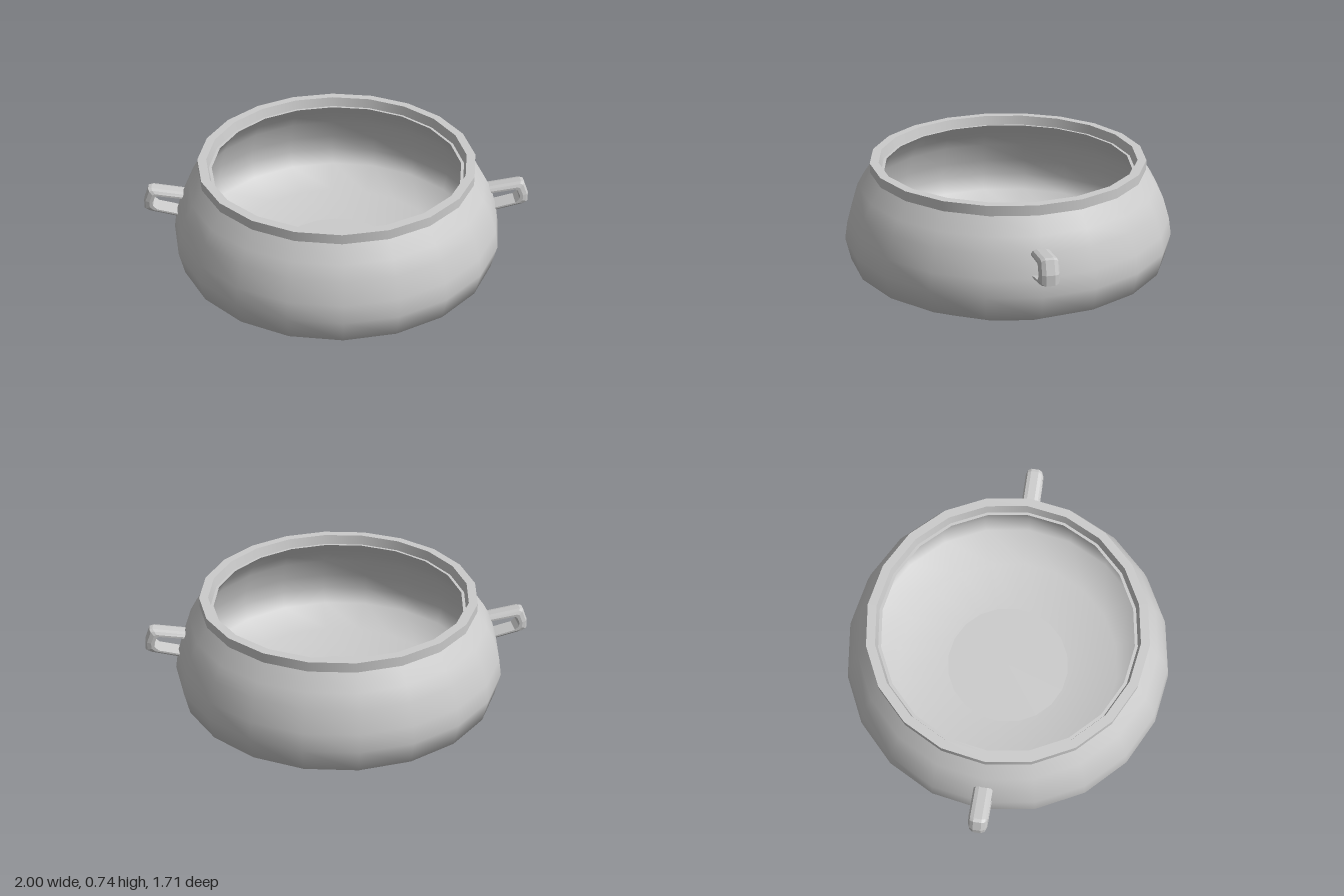
import * as THREE from 'three';

const SIDES = 20;
const material = new THREE.MeshStandardMaterial({ color: 0xcccccc });

function addMesh(parent, name, geometry) {
  const mesh = new THREE.Mesh(geometry, material);
  mesh.name = name;
  parent.add(mesh);
  return mesh;
}

// Revolved surface; separate pieces keep the edges between them sharp
function lathe(points) {
  return new THREE.LatheGeometry(points.map(([r, y]) => new THREE.Vector2(r, y)), SIDES);
}

// Bent strap: pairs of inner and outer edge points, rounded on the outside
function handleGeometry() {
  const path = [
    [0.76, 0.527, 0.76, 0.553], [0.925, 0.553, 0.955, 0.588], [0.938, 0.546, 0.972, 0.585],
    [0.952, 0.515, 0.998, 0.52], [0.952, 0.495, 1.0, 0.47], [0.932, 0.473, 0.978, 0.46],
    [0.79, 0.435, 0.79, 0.41],
  ];
  const section = [[0, -0.047], [0.35, -0.047], [0.8, -0.038], [1, -0.02],
    [1, 0.02], [0.8, 0.038], [0.35, 0.047], [0, 0.047]];
  const n = section.length;
  const positions = [], index = [];
  for (const [ix, iy, ox, oy] of path) {
    for (const [t, z] of section) positions.push(ix + (ox - ix) * t, iy + (oy - iy) * t, z);
  }
  for (let i = 0; i < path.length - 1; i++) {
    for (let j = 0; j < n; j++) {
      const a = i * n + j, b = i * n + (j + 1) % n;
      index.push(a, b, a + n, b, b + n, a + n);
    }
  }
  const geometry = new THREE.BufferGeometry();
  geometry.setAttribute('position', new THREE.Float32BufferAttribute(positions, 3));
  geometry.setIndex(index);
  const flat = geometry.toNonIndexed();
  flat.computeVertexNormals();
  return flat;
}

// Stub foot: flat towards the centre, rounded outwards
function footGeometry() {
  const shape = new THREE.Shape();
  shape.moveTo(0.315, -0.03);
  shape.lineTo(0.39, -0.03);
  shape.absarc(0.39, 0, 0.03, -Math.PI / 2, Math.PI / 2, false);
  shape.lineTo(0.315, 0.03);
  shape.closePath();
  const geometry = new THREE.ExtrudeGeometry(shape, { depth: 0.11, bevelEnabled: false, curveSegments: 5 });
  return geometry.rotateX(-Math.PI / 2);
}

export function createModel() {
  const model = new THREE.Group();
  model.name = 'pot';

  // Bowl shell
  const bowl = new THREE.Group();
  bowl.name = 'bowl';
  model.add(bowl);
  addMesh(bowl, 'outerWall', lathe([
    [0, 0.085], [0.4, 0.085], [0.64, 0.112], [0.83, 0.22], [0.855, 0.34],
    [0.84, 0.43], [0.805, 0.54], [0.765, 0.61], [0.7, 0.7],
  ]));
  addMesh(bowl, 'innerWall', lathe([
    [0.64, 0.69], [0.705, 0.61], [0.745, 0.54], [0.78, 0.43], [0.795, 0.34],
    [0.77, 0.25], [0.6, 0.17], [0.33, 0.145],
  ]));
  addMesh(bowl, 'floor', lathe([[0.33, 0.145], [0, 0.145]]));

  // Rim band with a small ledge inside
  const rim = new THREE.Group();
  rim.name = 'rim';
  model.add(rim);
  const rimProfile = [[0.69, 0.69], [0.71, 0.69], [0.71, 0.74], [0.665, 0.74], [0.655, 0.69], [0.64, 0.69]];
  for (let i = 0; i < rimProfile.length - 1; i++) {
    addMesh(rim, 'rimFace', lathe([rimProfile[i], rimProfile[i + 1]]));
  }

  // Side handles
  const handle = handleGeometry();
  addMesh(model, 'leftHandle', handle);
  addMesh(model, 'rightHandle', handle).rotation.y = Math.PI;

  // Four feet
  const foot = footGeometry();
  for (let i = 0; i < 4; i++) addMesh(model, 'foot', foot).rotation.y = i * Math.PI / 2;

  return model;
}
